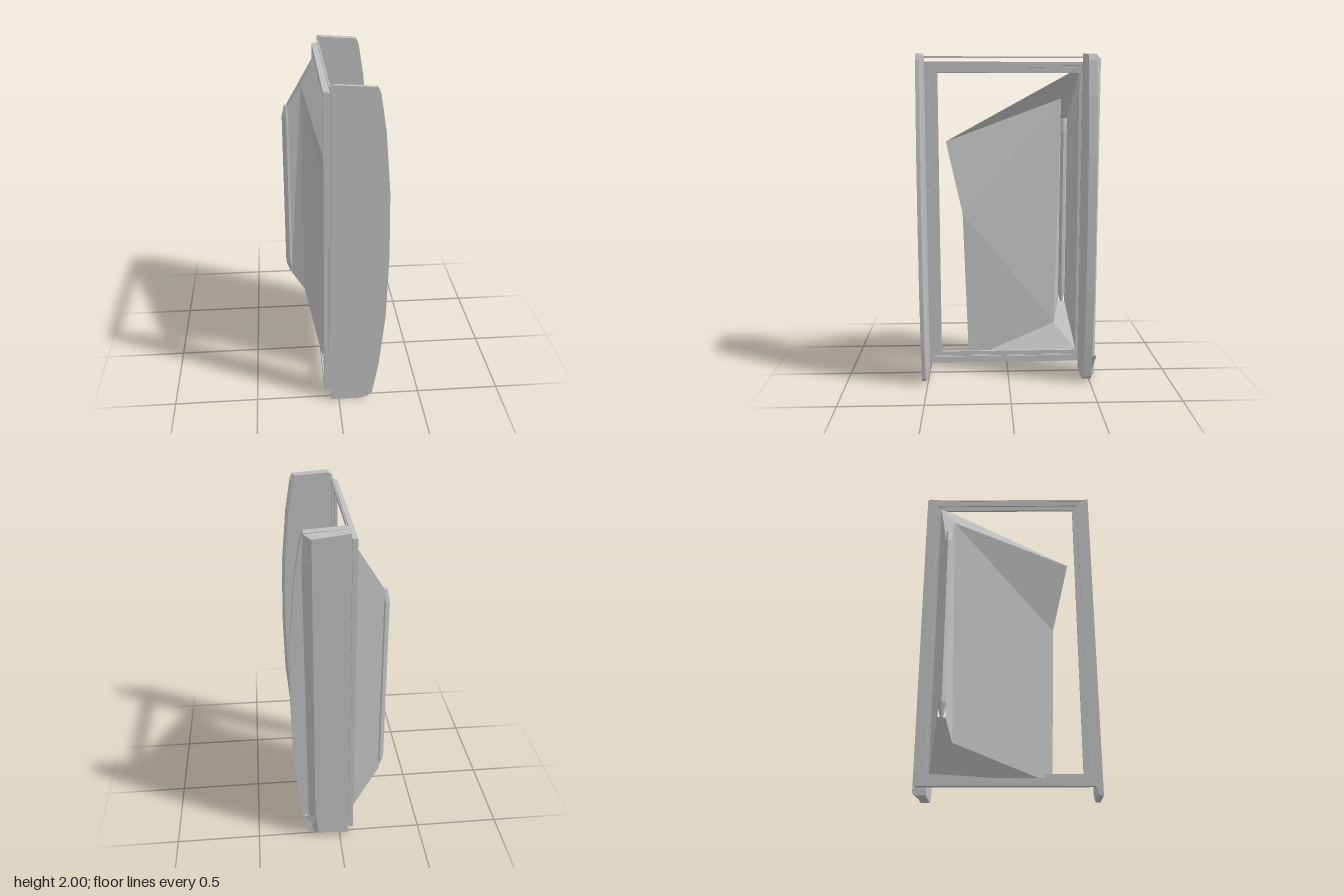
import * as THREE from 'three';

export function createModel() {
  const root = new THREE.Group();
  const grey = new THREE.MeshStandardMaterial({ color: 0xc0c0c0, flatShading: true, side: THREE.DoubleSide });
  grey.name = 'plain grey';

  const add = (name, geometry, parent = root) => {
    const mesh = new THREE.Mesh(geometry, grey);
    mesh.name = name;
    parent.add(mesh);
    return mesh;
  };
  const box = (name, x0, x1, y0, y1, z0, z1, parent) =>
    add(name, new THREE.BoxGeometry(x1 - x0, y1 - y0, z1 - z0), parent)
      .position.set((x0 + x1) / 2, (y0 + y1) / 2, (z0 + z1) / 2);

  // Flat facets, each a fan of corner points
  const facets = (name, faces, parent) => {
    const pos = [];
    for (const f of faces)
      for (let i = 1; i < f.length - 1; i++) pos.push(...f[0], ...f[i], ...f[i + 1]);
    const g = new THREE.BufferGeometry();
    g.setAttribute('position', new THREE.Float32BufferAttribute(pos, 3));
    g.computeVertexNormals();
    return add(name, g, parent);
  };

  // Loft between two outlines with the same number of points, capped at both ends
  const loft = (name, a, za, b, zb, parent) => {
    const pa = a.map(([x, y]) => [x, y, za]);
    const pb = b.map(([x, y]) => [x, y, zb]);
    const n = a.length;
    const faces = [pa.slice().reverse(), pb];
    for (let i = 0; i < n; i++) faces.push([pa[i], pa[(i + 1) % n], pb[(i + 1) % n], pb[i]]);
    return facets(name, faces, parent);
  };

  // Bowed outline shared by both side panels
  const outline = [[-0.05, 0], [0.14, 0], [0.18, 0.015], [0.205, 0.04], [0.24, 0.25], [0.272, 0.6], [0.28, 1],
    [0.27, 1.4], [0.238, 1.75], [0.205, 1.95], [0.19, 1.985], [-0.03, 2], [-0.05, 1.99]];
  const inset = (d) => outline.map(([x, y]) => [x > 0 ? x - d : x, 1 + (y - 1) * (1 - d * 0.6)]);

  // Front side panel, thin with a chamfered inner rim
  const front = new THREE.Group();
  front.name = 'frontSidePanel';
  root.add(front);
  loft('frontPanelFace', outline, 0.512, outline, 0.535, front);
  loft('frontPanelRim', inset(0.018), 0.504, outline, 0.512, front);

  // Back side panel, thicker, with a raised outer block
  const back = new THREE.Group();
  back.name = 'backSidePanel';
  root.add(back);
  loft('backPanelSlab', outline, -0.508, outline, -0.457, back);
  loft('backPanelBlock',
    [[-0.05, 0.015], [0.13, 0.03], [0.15, 0.18], [0.15, 1.82], [0.15, 1.96], [-0.05, 1.985]], -0.535,
    [[-0.05, 0], [0.16, 0.015], [0.19, 0.18], [0.2, 1.82], [0.19, 1.98], [-0.05, 2]], -0.508, back);
  facets('backPanelTab', [
    [[0.14, 0.03, -0.508], [0.21, 0.17, -0.508], [0.215, 0.17, -0.535]],
    [[0.14, 0.03, -0.508], [0.215, 0.17, -0.535], [0.15, 0.16, -0.532]],
  ], back);

  // Door frame: nested rectangular rings
  const frame = new THREE.Group();
  frame.name = 'doorFrame';
  root.add(frame);
  const rect = (P, z0, z1, y0, y1) => {
    const p = new P();
    p.moveTo(-z1, y0);
    p.lineTo(-z0, y0);
    p.lineTo(-z0, y1);
    p.lineTo(-z1, y1);
    p.closePath();
    return p;
  };
  const ring = (name, [z0, z1, y0, y1], [a0, a1, b0, b1], x0, x1) => {
    const s = rect(THREE.Shape, z0, z1, y0, y1);
    s.holes.push(rect(THREE.Path, a0, a1, b0, b1));
    const g = new THREE.ExtrudeGeometry(s, { depth: x1 - x0, bevelEnabled: false });
    g.rotateY(Math.PI / 2).translate(x0, 0, 0);
    add(name, g, frame);
  };
  ring('outerRing', [-0.515, 0.49, 0.045, 1.95], [-0.46, 0.455, 0.09, 1.915], -0.085, -0.058);
  ring('middleRing', [-0.5, 0.505, 0.045, 1.95], [-0.455, 0.48, 0.085, 1.93], -0.058, -0.05);
  ring('innerRing', [-0.46, 0.455, 0.09, 1.915], [-0.44, 0.425, 0.115, 1.885], -0.075, -0.062);
  box('topRail', -0.056, -0.048, 1.972, 1.982, -0.457, 0.505, frame);

  // Skewed leaf that bulges out into the handle
  const A = [-0.055, 1.47, 0.38], B = [-0.165, 1.73, -0.34], C = [-0.06, 1.92, -0.445];
  const D = [-0.01, 1.03, 0.28], E = [-0.07, 0.06, 0.25], F = [-0.165, 0.27, -0.31], G = [-0.07, 0.11, -0.445];
  const topIn = [-0.25, 1.6, -0.345], topOut = [-0.255, 1.6, -0.388];
  const lowIn = [-0.25, 0.39, -0.345], lowOut = [-0.255, 0.39, -0.388];
  const leaf = new THREE.Group();
  leaf.name = 'doorLeaf';
  root.add(leaf);
  facets('leafSheet', [[A, B, D], [D, B, F], [D, F, E]], leaf);
  facets('leafTop', [[A, C, B]], leaf);
  facets('leafBottom', [[E, F, G]], leaf);
  facets('handleFrontWall', [[B, topIn, lowIn, F]], leaf);
  facets('handleBackWall', [[C, G, lowOut, topOut]], leaf);
  facets('handleEnds', [[B, C, topOut, topIn], [F, lowIn, lowOut, G]], leaf);

  // Rounded outer grip with tapered ends
  const ends = [[0.39, 0.009, -0.25], [0.47, 0.027, -0.259], [1.53, 0.027, -0.259], [1.6, 0.015, -0.255]];
  const rings = ends.map(([y, r, x]) => Array.from({ length: 8 }, (_, i) => {
    const t = (i / 8) * Math.PI * 2;
    return [x + Math.cos(t) * r, y, -0.366 + Math.sin(t) * r];
  }));
  const grip = [rings[0], rings[3].slice().reverse()];
  for (let k = 0; k < 3; k++)
    for (let i = 0; i < 8; i++) {
      const j = (i + 1) % 8;
      grip.push([rings[k][i], rings[k + 1][i], rings[k + 1][j], rings[k][j]]);
    }
  facets('handleGrip', grip, leaf);

  return root;
}
